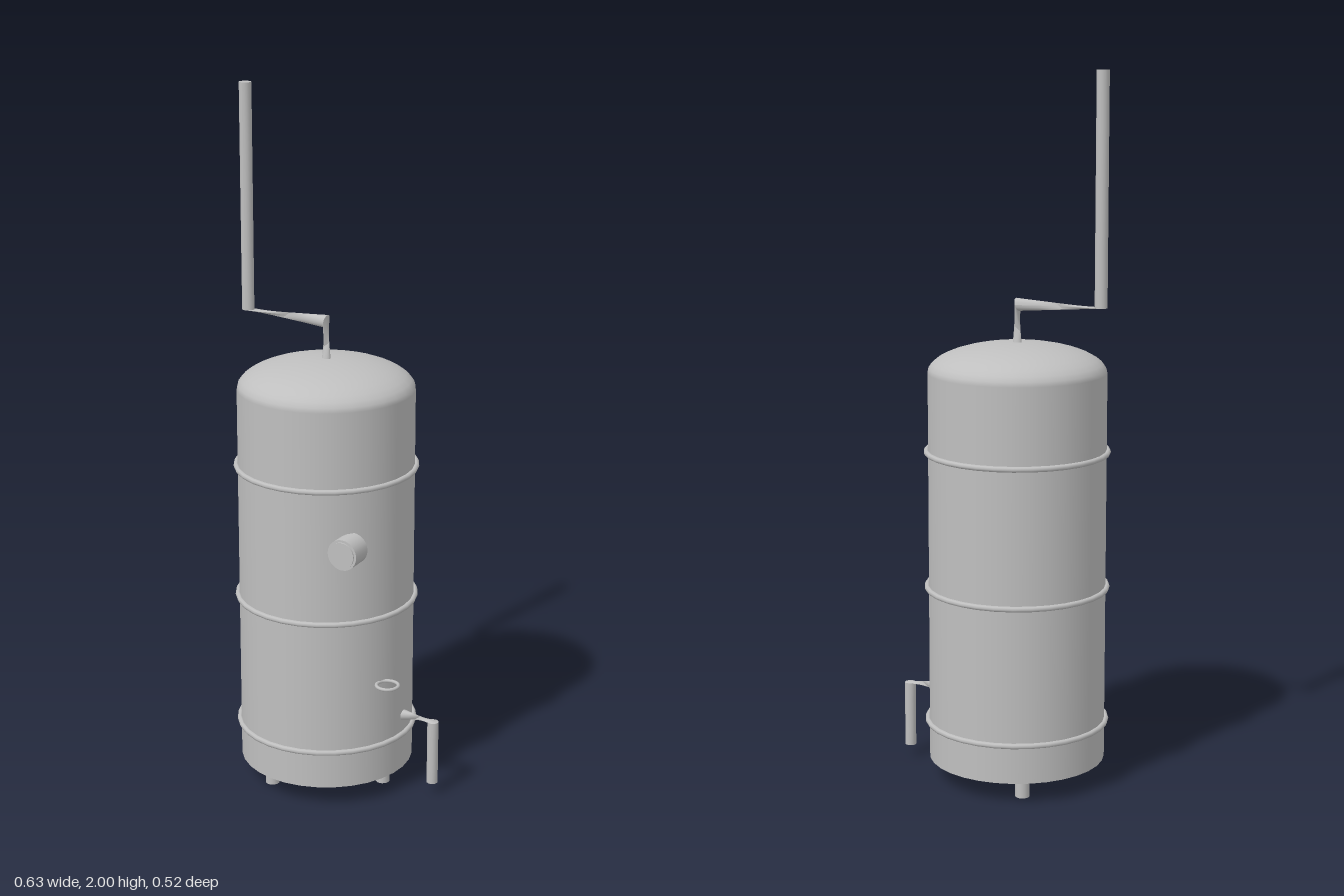
import * as THREE from 'three';

const metal = new THREE.MeshStandardMaterial({ color: 0xbfbfbf });
metal.name = 'grey metal';
const metalTwoSided = new THREE.MeshStandardMaterial({ color: 0xbfbfbf, side: THREE.DoubleSide });
metalTwoSided.name = 'grey metal sheet';

const CX = -0.047; // tank axis
const R = 0.25;    // tank radius

function add(parent, name, geometry, x = 0, y = 0, z = 0, material = metal) {
  const mesh = new THREE.Mesh(geometry, material);
  mesh.name = name;
  mesh.position.set(x, y, z);
  parent.add(mesh);
  return mesh;
}

// Skin between two circles; each is { c: centre, u: axis, v: axis } as arrays.
function loft(a, b, n = 16) {
  const pos = [], idx = [];
  for (let i = 0; i <= n; i++) {
    const t = (i / n) * Math.PI * 2;
    // in-between rows keep the twisted skin clean through its pinch
    for (let j = 0; j <= 4; j++) {
      const k = j / 4;
      for (let d = 0; d < 3; d++) {
        const p = a.c[d] + a.u[d] * Math.cos(t) + a.v[d] * Math.sin(t);
        const q = b.c[d] + b.u[d] * Math.cos(t) + b.v[d] * Math.sin(t);
        pos.push(p + (q - p) * k);
      }
      if (i < n && j < 4) {
        const s = i * 5 + j;
        idx.push(s, s + 5, s + 1, s + 1, s + 5, s + 6);
      }
    }
  }
  const g = new THREE.BufferGeometry();
  g.setAttribute('position', new THREE.Float32BufferAttribute(pos, 3));
  g.setIndex(idx);
  g.computeVertexNormals();
  return g;
}

// Circle lying flat, or standing across the x axis; flip reverses it in z.
const flat = (x, y, r, flip = 1) => ({ c: [x, y, 0], u: [0, 0, r * flip], v: [r, 0, 0] });
const upright = (x, y, r, flip = 1) => ({ c: [x, y, 0], u: [0, 0, r * flip], v: [r * 0.25, r, 0] });

export function createModel() {
  const model = new THREE.Group();
  model.name = 'tank';

  // Shell and bottom
  add(model, 'shell', new THREE.CylinderGeometry(R, R, 1.11, 32, 1, true), CX, 0.615, 0);
  add(model, 'bottom', new THREE.CircleGeometry(R, 32), CX, 0.06, 0).rotation.x = Math.PI / 2;

  // Domed lid
  const dome = new THREE.SphereGeometry(R, 32, 10, 0, Math.PI * 2, 0, Math.PI / 2);
  dome.scale(1, 0.085 / R, 1);
  add(model, 'domedLid', dome, CX, 1.17, 0);

  // Hoops
  for (const y of [0.17, 0.56, 0.948]) {
    add(model, 'hoop', new THREE.TorusGeometry(R + 0.004, 0.008, 8, 32), CX, y, 0).rotation.x = Math.PI / 2;
  }

  // Three feet
  for (let i = 0; i < 3; i++) {
    const a = (i * Math.PI * 2) / 3;
    add(model, 'foot', new THREE.CylinderGeometry(0.02, 0.02, 0.07, 16),
      CX + 0.185 * Math.cos(a), 0.035, 0.185 * Math.sin(a));
  }

  // Gauge with thin face
  const gauge = new THREE.Group();
  gauge.name = 'gauge';
  gauge.position.set(0.131, 0.782, 0);
  model.add(gauge);
  add(gauge, 'gaugeBody', new THREE.CylinderGeometry(0.044, 0.044, 0.066, 24), 0, 0, 0.204).rotation.x = Math.PI / 2;
  add(gauge, 'gaugeFace', new THREE.CylinderGeometry(0.037, 0.037, 0.004, 24), 0, 0, 0.239).rotation.x = Math.PI / 2;

  // Small side ring
  add(model, 'sideRing', new THREE.TorusGeometry(0.031, 0.005, 8, 24), 0.208, 0.363, 0.111).rotation.x = Math.PI / 2;

  // Chimney: pinched riser, pinched arm, straight stack
  const chimney = new THREE.Group();
  chimney.name = 'chimney';
  model.add(chimney);
  const c0 = flat(CX, 1.24, 0.014), c1 = upright(CX, 1.36, 0.018, -1);
  const c2 = flat(-0.297, 1.364, 0.0175), c3 = flat(-0.297, 2, 0.0175);
  add(chimney, 'chimneyRiser', loft(c0, c1), 0, 0, 0, metalTwoSided);
  add(chimney, 'chimneyArm', loft(c1, c2), 0, 0, 0, metalTwoSided);
  add(chimney, 'chimneyStack', loft(c2, c3), 0, 0, 0, metalTwoSided);
  for (const y of [1.364, 2]) {
    add(chimney, 'chimneyCap', new THREE.CircleGeometry(0.0175, 16), -0.297, y, 0, metalTwoSided).rotation.x = -Math.PI / 2;
  }

  // Drain: pinched arm and straight spout
  const drain = new THREE.Group();
  drain.name = 'drain';
  model.add(drain);
  const d0 = upright(0.2, 0.225, 0.016, -1), d1 = flat(0.298, 0.225, 0.016), d2 = flat(0.298, 0.035, 0.016);
  add(drain, 'drainArm', loft(d0, d1), 0, 0, 0, metalTwoSided);
  add(drain, 'drainSpout', loft(d1, d2), 0, 0, 0, metalTwoSided);
  for (const y of [0.225, 0.035]) {
    add(drain, 'drainCap', new THREE.CircleGeometry(0.016, 16), 0.298, y, 0, metalTwoSided).rotation.x = -Math.PI / 2;
  }

  return model;
}
